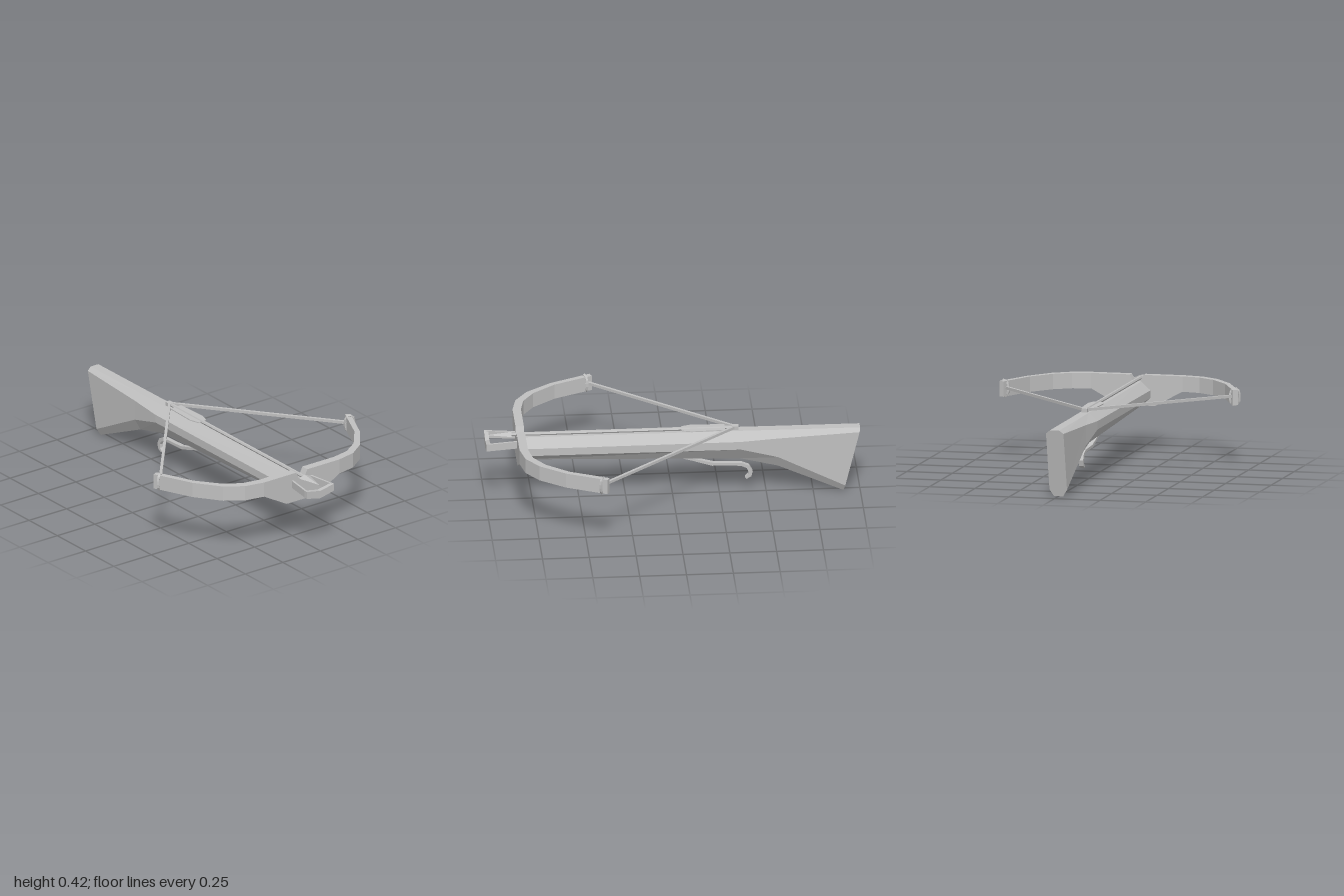
import * as THREE from 'three';

const grey = new THREE.MeshStandardMaterial({ color: 0xc0c0c0 });
grey.name = 'plain grey';

// Flat-faced skin through a row of matching loops, with closed ends
function loft(sections) {
  const pos = [];
  const tri = (a, b, c) => pos.push(...a, ...b, ...c);
  const n = sections[0].length;
  for (let i = 0; i < sections.length - 1; i++) {
    for (let j = 0; j < n; j++) {
      const k = (j + 1) % n, s = sections[i], t = sections[i + 1];
      tri(s[j], t[j], t[k]);
      tri(s[j], t[k], s[k]);
    }
  }
  const first = sections[0], last = sections[sections.length - 1];
  for (let j = 1; j < n - 1; j++) {
    tri(first[0], first[j], first[j + 1]);
    tri(last[0], last[j + 1], last[j]);
  }
  const g = new THREE.BufferGeometry();
  g.setAttribute('position', new THREE.Float32BufferAttribute(pos, 3));
  g.computeVertexNormals();
  return g;
}

// Four-sided bar lofted along z; rows are [zOuter, xOuter, zInner, xInner, yTop, yBottom] for half of it
function mirroredBar(half) {
  const all = [...half.slice(1).reverse().map(([a, b, c, ...r]) => [-a, b, -c, ...r]), ...half];
  return loft(all.map(([zo, xo, zi, xi, yt, yb]) =>
    [[xo, yt, zo], [xo, yb, zo], [xi, yb, zi], [xi, yt, zi]]));
}

function flat(geometry) {
  const g = geometry.index ? geometry.toNonIndexed() : geometry;
  g.computeVertexNormals();
  return g;
}

export function createModel() {
  const model = new THREE.Group();
  model.name = 'crossbow';
  const add = (name, geometry, parent = model) => {
    const mesh = new THREE.Mesh(geometry, grey);
    mesh.name = name;
    parent.add(mesh);
    return mesh;
  };
  // Straight bar between two points
  const beam = (name, a, b, w, h) => {
    const p = new THREE.Vector3(...a), q = new THREE.Vector3(...b);
    const mesh = add(name, new THREE.BoxGeometry(w, h, p.distanceTo(q)));
    mesh.position.copy(p).add(q).multiplyScalar(0.5);
    mesh.lookAt(q);
    return mesh;
  };

  // Stock: chamfered sections [xTop, xBottom, halfWidth, yTop, yUpper, yLower, yBottom]
  const stock = [
    [-1, -0.91, 0.048, 0.375, 0.357, 0.045, 0.008],
    [-0.56, -0.56, 0.062, 0.376, 0.342, 0.232, 0.165],
    [-0.36, -0.36, 0.075, 0.377, 0.335, 0.29, 0.215],
    [0.8, 0.8, 0.075, 0.38, 0.333, 0.292, 0.25],
  ].map(([xt, xb, w, yt, yu, yl, yb]) => {
    const p = (z, y) => [xb + (xt - xb) * (y - yb) / (yt - yb), y, z];
    return [p(0.025, yb), p(w, yl), p(w, yu), p(0.025, yt),
      p(-0.025, yt), p(-w, yu), p(-w, yl), p(-0.025, yb)];
  });
  add('stock', loft(stock));

  // Bow: notched and deepened in the middle, curving back to the tips
  add('bow', mirroredBar([
    [0, 0.835, 0, 0.79, 0.375, 0.25],
    [0.02, 0.835, 0.02, 0.79, 0.38, 0.25],
    [0.038, 0.835, 0.038, 0.79, 0.415, 0.25],
    [0.1, 0.835, 0.1, 0.79, 0.415, 0.25],
    [0.25, 0.835, 0.25, 0.79, 0.415, 0.332],
    [0.36, 0.812, 0.35, 0.77, 0.415, 0.332],
    [0.457, 0.745, 0.44, 0.71, 0.415, 0.332],
    [0.557, 0.61, 0.535, 0.59, 0.415, 0.332],
    [0.655, 0.395, 0.628, 0.383, 0.415, 0.332],
  ]));

  // Foot stirrup with a dipped crossbar
  add('stirrupCrossbar', mirroredBar([
    [0, 1, 0, 0.977, 0.358, 0.315],
    [0.09, 1, 0.09, 0.977, 0.375, 0.335],
  ]));

  for (const s of [1, -1]) {
    beam('stirrupArm', [0.83, 0.355, 0.06 * s], [0.985, 0.355, 0.084 * s], 0.011, 0.04);

    // String with its binding around each bow tip
    beam('string', [-0.335, 0.39, 0], [0.42, 0.378, 0.632 * s], 0.015, 0.015);
    const loop = [[0.02, 0.035], [0, 0.05], [-0.02, 0.035], [-0.02, -0.035], [0, -0.05], [0.02, -0.035]]
      .map(([u, y]) => new THREE.Vector3(0.42 + u * 0.42, 0.374 + y * 0.9, s * (0.631 + u * 0.9)));
    add('tipBinding', flat(new THREE.TubeGeometry(
      new THREE.CatmullRomCurve3(loop, true), 12, 0.008, 4, true)));
    const knot = add('stringKnot', flat(new THREE.OctahedronGeometry(0.018)));
    knot.position.set(0.412, 0.378, s * 0.622);

    // Flat vanes of the bolt
    const vane = new THREE.Shape([[-0.28, 0], [-0.28, 0.036], [-0.1, 0.042], [-0.05, 0.028], [-0.04, 0]]
      .map(([x, z]) => new THREE.Vector2(x, z * s)));
    const vaneGeo = new THREE.ExtrudeGeometry(vane, { depth: 0.005, bevelEnabled: false });
    vaneGeo.rotateX(Math.PI / 2);
    add('boltVane', vaneGeo).position.y = 0.391;
  }

  // Bolt resting on the stock
  const shaft = flat(new THREE.CylinderGeometry(0.01, 0.01, 1.22, 6));
  shaft.rotateZ(-Math.PI / 2);
  add('boltShaft', shaft).position.set(0.26, 0.388, 0);
  const head = flat(new THREE.ConeGeometry(0.034, 0.13, 4));
  head.rotateZ(-Math.PI / 2);
  head.scale(1, 0.45, 1);
  head.computeVertexNormals();
  add('boltHead', head).position.set(0.925, 0.388, 0);

  // String catch
  const catchMesh = add('stringCatch', new THREE.BoxGeometry(0.035, 0.022, 0.03));
  catchMesh.position.set(-0.335, 0.387, 0);

  // Trigger lever with a hooked end
  const lever = new THREE.Shape([[-0.045, 0.232], [-0.12, 0.212], [-0.22, 0.186], [-0.3, 0.182], [-0.37, 0.18],
    [-0.41, 0.163], [-0.428, 0.13], [-0.42, 0.1], [-0.395, 0.086], [-0.387, 0.094], [-0.403, 0.11], [-0.405, 0.13],
    [-0.395, 0.15], [-0.365, 0.164], [-0.3, 0.168], [-0.21, 0.17], [-0.1, 0.205], [-0.04, 0.222]]
    .map(([x, y]) => new THREE.Vector2(x, y)));
  const leverGeo = new THREE.ExtrudeGeometry(lever, { depth: 0.025, bevelEnabled: false });
  leverGeo.translate(0, 0, -0.0125);
  add('trigger', leverGeo);

  return model;
}
